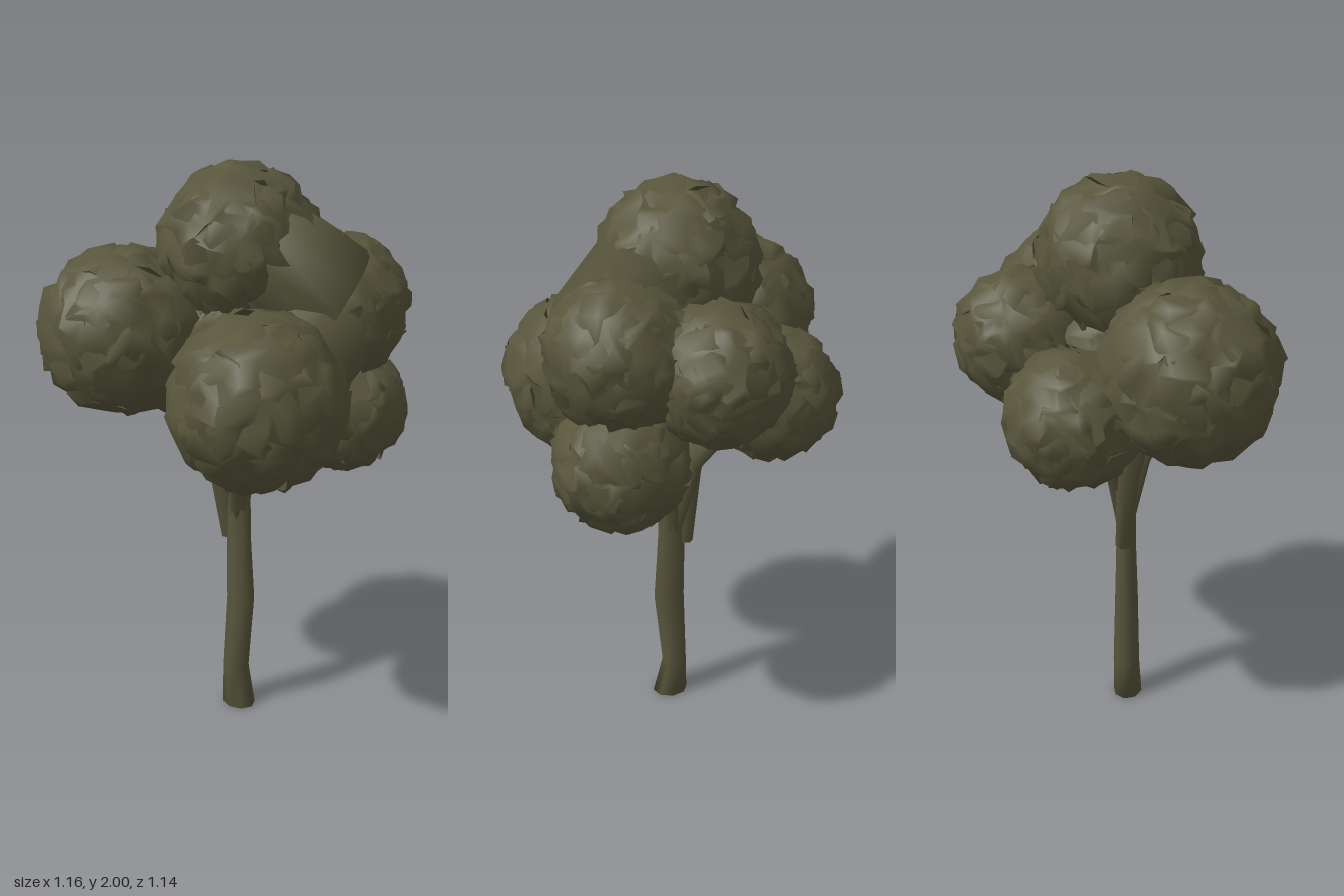
import * as THREE from 'three';
import { mergeVertices } from 'three/addons/utils/BufferGeometryUtils.js';

const olive = new THREE.MeshStandardMaterial({ color: 0x57553b });
olive.name = 'dark olive';

// Small seeded random generator
function seeded(seed) {
  let s = seed * 7919 + 17;
  return () => {
    s = (s * 16807) % 2147483647;
    return s / 2147483647;
  };
}

// Crumpled ball: an icosphere with shared vertices shuffled sideways and pushed in
function crumpledBall(radius, seed) {
  const raw = new THREE.IcosahedronGeometry(1, 5);
  raw.deleteAttribute('normal');
  raw.deleteAttribute('uv');
  const geo = mergeVertices(raw, 1e-4);
  const random = seeded(seed);
  for (let i = 0; i < 20; i++) random();
  const p = geo.attributes.position;
  const v = new THREE.Vector3(), shuffle = new THREE.Vector3();
  for (let i = 0; i < p.count; i++) {
    shuffle.set(random() - 0.5, random() - 0.5, random() - 0.5).multiplyScalar(0.24);
    v.fromBufferAttribute(p, i).add(shuffle).normalize();
    v.multiplyScalar(radius * (0.86 + 0.16 * random()));
    p.setXYZ(i, v.x, v.y, v.z);
  }
  geo.computeVertexNormals();
  return geo;
}

// Capped loft along rings of [x, y, z, radiusX, radiusZ]
function loft(rings, sides) {
  const points = rings.map(r => new THREE.Vector3(r[0], r[1], r[2]));
  const up = new THREE.Vector3(0, 1, 0);
  const pos = [], index = [];
  rings.forEach((r, i) => {
    const dir = points[Math.min(i + 1, points.length - 1)].clone()
      .sub(points[Math.max(i - 1, 0)]).normalize();
    const turn = new THREE.Quaternion().setFromUnitVectors(up, dir);
    for (let j = 0; j < sides; j++) {
      const a = (j / sides) * Math.PI * 2;
      const v = new THREE.Vector3(Math.cos(a) * r[3], 0, Math.sin(a) * r[4]);
      v.applyQuaternion(turn).add(points[i]);
      pos.push(v.x, r[1] === 0 ? 0 : v.y, v.z);
    }
  });
  const last = (rings.length - 1) * sides;
  for (let i = 0; i < rings.length - 1; i++) {
    for (let j = 0; j < sides; j++) {
      const a = i * sides + j, b = i * sides + (j + 1) % sides;
      index.push(a, a + sides, b, b, a + sides, b + sides);
    }
  }
  for (let j = 1; j < sides - 1; j++) {
    index.push(0, j, j + 1, last, last + j + 1, last + j);
  }
  const geo = new THREE.BufferGeometry();
  geo.setAttribute('position', new THREE.Float32BufferAttribute(pos, 3));
  geo.setIndex(index);
  geo.computeVertexNormals();
  return geo;
}

export function createModel() {
  const tree = new THREE.Group();
  tree.name = 'tree';
  const add = (parent, name, geo, at = [0, 0, 0]) => {
    const mesh = new THREE.Mesh(geo, olive);
    mesh.name = name;
    mesh.position.set(...at);
    parent.add(mesh);
  };

  // Trunk with a flared, slightly crooked foot
  add(tree, 'trunk', loft([
    [0.019, 0, 0.016, 0.066, 0.055],
    [0.003, 0.15, 0.014, 0.046, 0.05],
    [0.023, 0.44, 0.01, 0.056, 0.043],
    [0.014, 0.68, 0.01, 0.05, 0.036],
    [0.02, 0.93, 0.01, 0.036, 0.038],
    [0.06, 1.15, 0.0, 0.04, 0.04],
    [0.03, 1.55, 0.0, 0.025, 0.025],
  ], 8));

  // Limbs reaching into the foliage, widening as they rise
  const limbs = {
    rightFrontLimb: [[-0.032, 0.67, 0.008, 0.034, 0.028], [-0.06, 0.95, 0.03, 0.042, 0.044], [-0.12, 1.2, 0.09, 0.05, 0.05], [-0.24, 1.38, 0.22, 0.02, 0.02]],
    rightBackLimb: [[0, 0.72, 0.008, 0.03, 0.026], [-0.062, 1.0, -0.01, 0.04, 0.044], [-0.25, 1.25, -0.08, 0.04, 0.04]],
    leftFrontLimb: [[0.015, 0.76, 0.015, 0.032, 0.03], [0.055, 0.98, 0.05, 0.04, 0.044], [0.22, 1.22, 0.17, 0.04, 0.04]],
    leftBackLimb: [[0.02, 0.86, 0.0, 0.032, 0.036], [0.1, 0.99, -0.07, 0.06, 0.06], [0.24, 1.08, -0.23, 0.08, 0.08]],
    backLimb: [[0.012, 0.72, 0.0, 0.03, 0.026], [0.025, 1.02, -0.025, 0.036, 0.036], [-0.04, 1.38, -0.25, 0.04, 0.04]],
  };
  for (const [name, rings] of Object.entries(limbs)) add(tree, name, loft(rings, 6));

  // Foliage clumps: [name, x, y, z, radius], two shells each for ragged patches
  const foliage = new THREE.Group();
  foliage.name = 'foliage';
  tree.add(foliage);
  [
    ['topClump', 0, 1.717, -0.01, 0.287],
    ['rightFrontClump', -0.28, 1.44, 0.272, 0.298],
    ['leftFrontClump', 0.272, 1.28, 0.212, 0.302],
    ['rightBackClump', -0.318, 1.275, -0.095, 0.238],
    ['backClump', -0.065, 1.455, -0.33, 0.242],
    ['leftBackUpperClump', 0.23, 1.515, -0.245, 0.26],
    ['leftBackLowerClump', 0.245, 1.155, -0.272, 0.235],
    ['innerClump', 0, 1.42, -0.02, 0.25],
  ].forEach(([name, x, y, z, radius], i) => {
    for (let shell = 0; shell < 2; shell++) {
      add(foliage, name, crumpledBall(radius, 2 * i + shell + 1), [x, y, z]);
    }
  });

  // Smooth leafy webs joining neighbouring clumps: [name, from, to, radius]
  [
    ['topWeb', [0.07, 1.69, -0.03], [0.26, 1.53, -0.19], 0.22],
    ['leftWeb', [0.26, 1.3, 0.14], [0.25, 1.48, -0.2], 0.19],
    ['backWeb', [-0.05, 1.48, -0.31], [0.22, 1.53, -0.25], 0.17],
  ].forEach(([name, from, to, r]) => {
    add(foliage, name, loft([[...from, r, r], [...to, r, r]], 14));
  });

  return tree;
}
